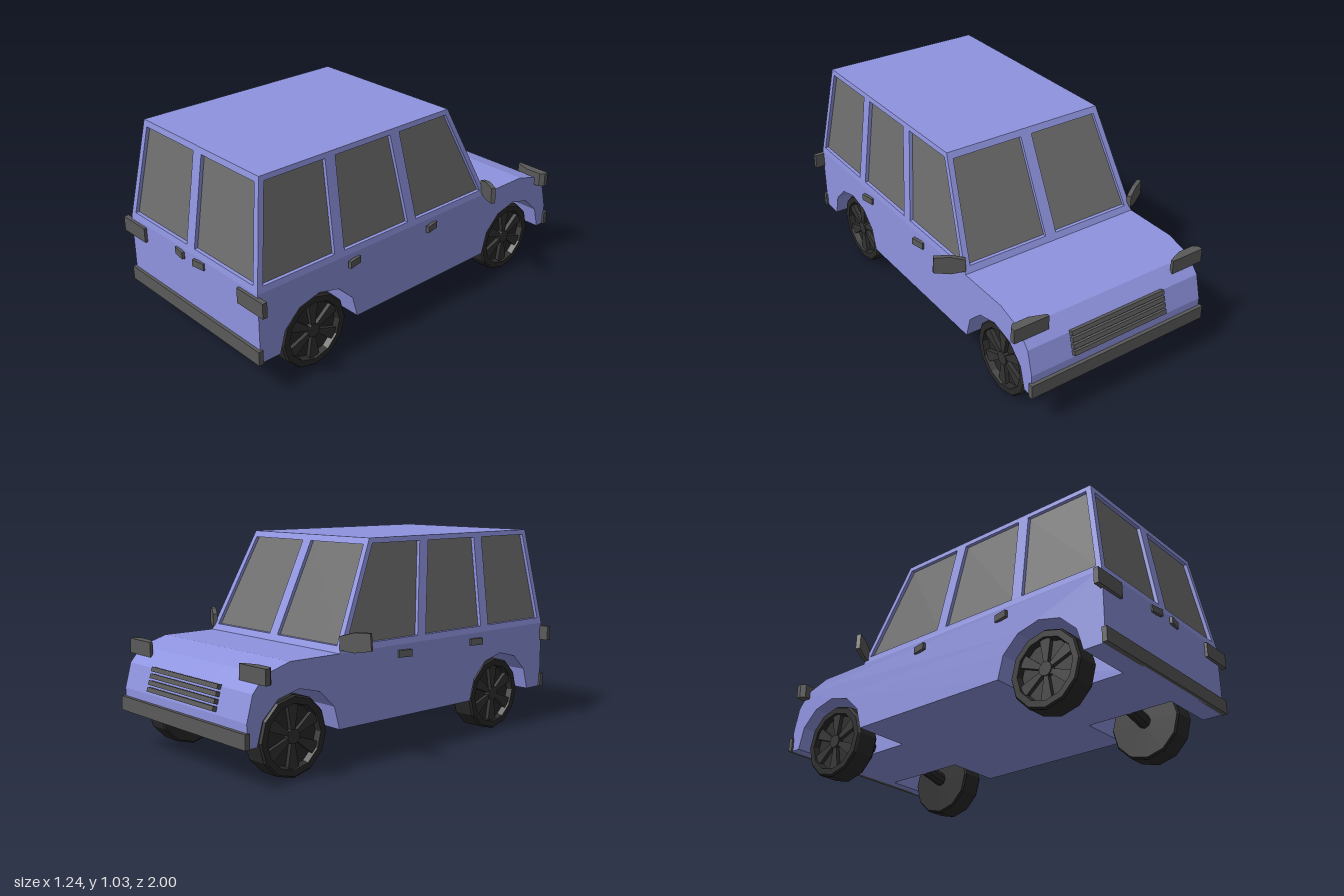
import * as THREE from 'three';

const mat = (color) => new THREE.MeshStandardMaterial({ color, flatShading: true });
const BODY = mat(0x8f94e0), GLASS = mat(0x6e6e6e), TRIM = mat(0x5a5a5a), TYRE = mat(0x2a2a2a), RIM = mat(0x333333);

const toShape = (pts) => new THREE.Shape(pts.map(([a, b]) => new THREE.Vector2(a, b)));
const extrude = (shape, depth) => new THREE.ExtrudeGeometry(shape, { depth, bevelEnabled: false });

// Outline given as (z, y), extruded along x from x0 to x1
const sideExtrude = (shape, x0, x1) => extrude(shape, x1 - x0).rotateY(-Math.PI / 2).translate(x1, 0, 0);

// Lean a panel: shift one axis in proportion to the height above the waistline
function lean(geo, axis, slope) {
  const p = geo.attributes.position;
  for (let i = 0; i < p.count; i++) {
    p.setComponent(i, axis, p.getComponent(i, axis) + (p.getY(i) - 0.535) * slope);
  }
  geo.computeVertexNormals();
  return geo;
}

// Copy reflected in x, with the triangle winding restored
function mirrored(geo) {
  const g = geo.index ? geo.toNonIndexed() : geo.clone();
  g.scale(-1, 1, 1);
  const p = g.attributes.position, a = new THREE.Vector3(), b = new THREE.Vector3();
  for (let i = 0; i < p.count; i += 3) {
    a.fromBufferAttribute(p, i + 1);
    b.fromBufferAttribute(p, i + 2);
    p.setXYZ(i + 1, b.x, b.y, b.z);
    p.setXYZ(i + 2, a.x, a.y, a.z);
  }
  g.computeVertexNormals();
  return g;
}

export function createModel() {
  const car = new THREE.Group();
  car.name = 'car';
  const add = (name, geo, material) => {
    const m = new THREE.Mesh(geo, material);
    m.name = name;
    car.add(m);
    return m;
  };
  const addPair = (name, geo, material) => {
    add(name + 'Left', geo, material);
    add(name + 'Right', mirrored(geo), material);
  };
  const box = (w, h, d, x, y, z) => new THREE.BoxGeometry(w, h, d).translate(x, y, z);

  // Lower body: solid core, and flanks with faceted wheel arches
  const axles = [-0.7, 0.64], floor = 0.19;
  const upper = [[0.98, floor], [0.98, 0.535], [-0.75, 0.535], [-0.885, 0.495], [-0.95, 0.42], [-0.982, 0.3], [-0.982, floor]];
  add('bodyCore', sideExtrude(toShape(upper), -0.2, 0.2), BODY);
  const flank = [...upper];
  for (const z of axles) {
    for (let i = 0; i <= 6; i++) {
      const a = Math.PI * (1 - i / 6);
      flank.push([z + 0.23 * Math.cos(a), floor + 0.22 * Math.sin(a)]);
    }
  }
  addPair('bodyFlank', sideExtrude(toShape(flank), 0.2, 0.495), BODY);

  // Cabin: leaning frames with window openings and recessed panes
  const t = 0.028, pane = 0.01;
  const frame = (outline, windows) => {
    const s = toShape(outline);
    s.holes = windows.map((w) => toShape(w));
    return s;
  };
  const sideWindows = [
    [[0.95, 0.565], [0.88, 1.01], [0.545, 1.01], [0.545, 0.565]],
    [[0.487, 0.565], [0.487, 1.01], [0.155, 1.01], [0.085, 0.565]],
    [[0.03, 0.565], [0.097, 1.01], [-0.22, 1.01], [-0.43, 0.565]],
  ];
  const sideOutline = [[0.98, 0.535], [0.9, 1.035], [-0.23, 1.035], [-0.47, 0.535]];
  addPair('sideFrame', lean(sideExtrude(frame(sideOutline, sideWindows), 0.495 - t, 0.495), 0, -0.13), BODY);
  for (const w of sideWindows) {
    addPair('sideWindow', lean(sideExtrude(toShape(w), 0.495 - t, 0.495 - t + pane), 0, -0.13), GLASS);
  }
  const endWindow = [[0.03, 0.565], [0.46, 0.565], [0.405, 1.005], [0.03, 1.005]];
  const endWindows = [endWindow, endWindow.map(([x, y]) => [-x, y])];
  const endOutline = [[-0.495, 0.535], [0.495, 0.535], [0.43, 1.035], [-0.43, 1.035]];
  const ends = [
    ['rear', 0.98 - t, 0.98 - t, -0.16],
    ['windscreen', -0.47, -0.47 + t - pane, 0.48],
  ];
  for (const [name, zFrame, zPane, slope] of ends) {
    add(name + 'Frame', lean(extrude(frame(endOutline, endWindows), t).translate(0, 0, zFrame), 2, slope), BODY);
    for (const w of endWindows) {
      add(name + 'Glass', lean(extrude(toShape(w), pane).translate(0, 0, zPane), 2, slope), GLASS);
    }
  }
  add('roof', box(0.86, 0.02, 1.13, 0, 1.025, 0.335), BODY);

  // Bumpers
  add('rearBumper', box(1.01, 0.07, 0.025, 0, 0.225, 0.983), TRIM);
  add('frontBumper', box(1.01, 0.07, 0.025, 0, 0.225, -0.987), TRIM);

  // Grille slats stepping down the sloping nose
  for (let i = 0; i < 4; i++) {
    const slat = new THREE.BoxGeometry(0.54, 0.022, 0.026).rotateX(0.28);
    add('grilleSlat', slat.translate(0, 0.418 - i * 0.031, -0.957 - i * 0.009), TRIM);
  }

  // Lamps at the four corners
  addPair('rearLamp', box(0.18, 0.075, 0.025, 0.455, 0.483, 0.982), TRIM);
  const lamp = toShape([[0.36, 0.92], [0.36, 0.905], [0.44, 0.875], [0.525, 0.875], [0.545, 0.895], [0.545, 0.92]]);
  addPair('headlamp', extrude(lamp, 0.072).rotateX(-Math.PI / 2).translate(0, 0.458, 0), TRIM);

  // Door mirrors, swept backwards
  const mirror = toShape([[0, 0.55], [0.07, 0.54], [0.15, 0.552], [0.145, 0.632], [0.07, 0.632], [0, 0.612]]);
  addPair('doorMirror', extrude(mirror, 0.022).rotateY(-0.5).translate(0.49, 0, -0.467), TRIM);

  // Door handles
  for (const z of [0.437, -0.068]) {
    const handle = new THREE.BoxGeometry(0.016, 0.034, 0.075).rotateY(0.2);
    addPair('doorHandle', handle.translate(0.505, 0.492, z), TRIM);
  }
  const tailHandle = new THREE.BoxGeometry(0.072, 0.034, 0.014).rotateY(0.15);
  addPair('tailgateHandle', tailHandle.translate(0.075, 0.508, 0.987), TRIM);

  // Wheels: twelve-sided tyre, recessed dish, wedge spokes, hub and axle
  const tyreProfile = [[0, 0.335], [0.18, 0.335], [0.188, 0.345], [0.188, 0.45], [0.18, 0.46],
    [0.15, 0.46], [0.142, 0.43], [0, 0.43]].map(([r, x]) => new THREE.Vector2(r, x));
  const wedge = toShape([[0.02, -0.009], [0.145, -0.03], [0.145, 0.03], [0.02, 0.009]]);
  for (const z of axles) {
    const place = (g) => g.rotateZ(-Math.PI / 2).translate(0, 0.19, z);
    addPair('tyre', place(new THREE.LatheGeometry(tyreProfile, 12)), TYRE);
    addPair('hub', place(new THREE.CylinderGeometry(0.034, 0.034, 0.03, 12).translate(0, 0.44, 0)), RIM);
    for (let i = 0; i < 6; i++) {
      const spoke = extrude(wedge, 0.02).rotateX(-Math.PI / 2).translate(0, 0.43, 0).rotateY((i * Math.PI) / 3);
      addPair('spoke', place(spoke), RIM);
    }
    const axle = new THREE.CylinderGeometry(0.035, 0.035, 0.18, 8).rotateZ(Math.PI / 2 - 0.24);
    addPair('axle', axle.translate(0.265, 0.21, z), TYRE);
  }
  return car;
}
